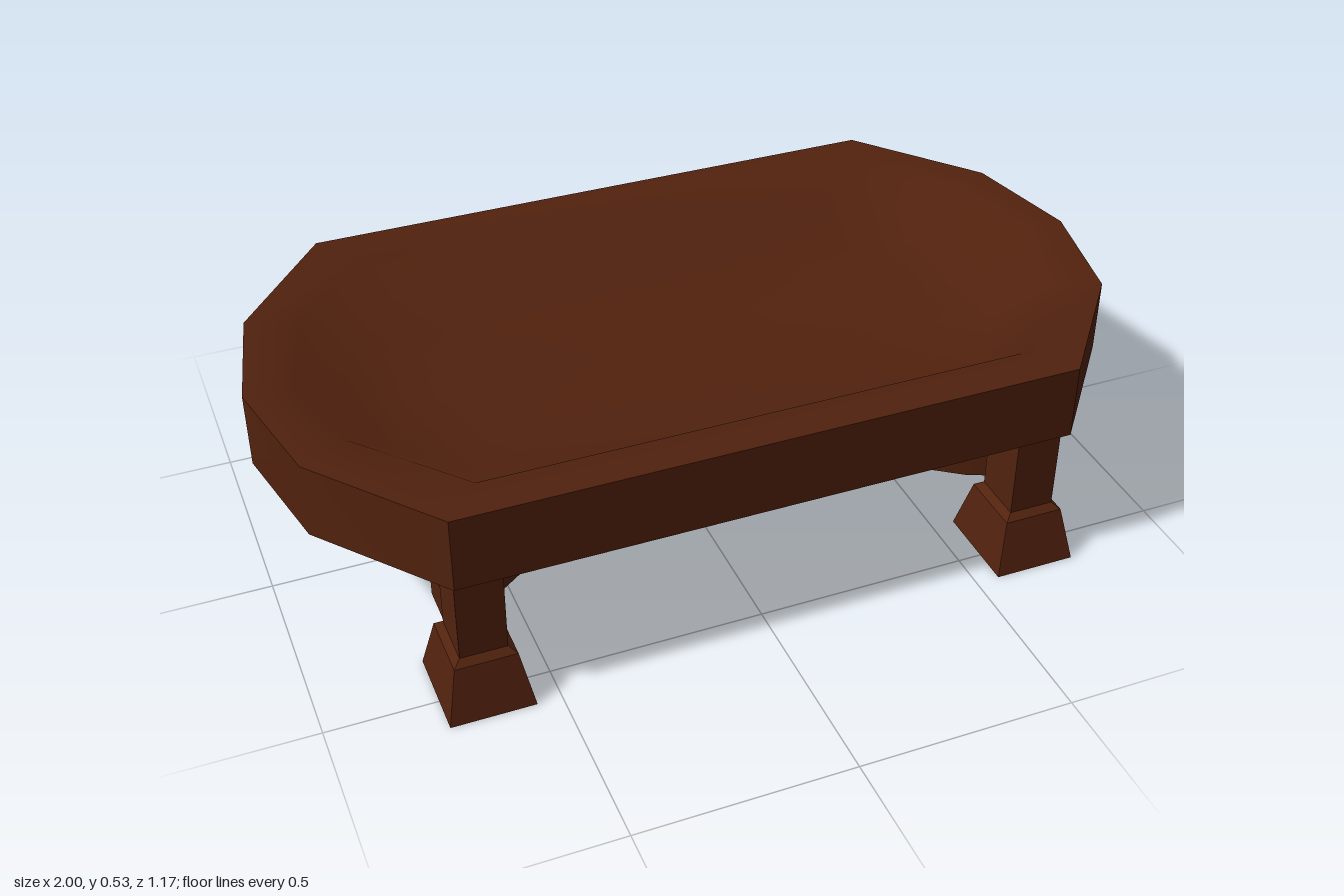
import * as THREE from 'three';
import { toCreasedNormals } from 'three/addons/utils/BufferGeometryUtils.js';

// Skins closed rings from bottom (or outside) to top (or inside); can close the last ring with a fan
function loft(rings, cap) {
  const n = rings[0].length, pos = rings.flat(2), idx = [];
  for (let r = 0; r < rings.length - 1; r++) {
    for (let i = 0; i < n; i++) {
      const a = r * n + i, b = r * n + (i + 1) % n;
      idx.push(a, b, a + n, b, b + n, a + n);
    }
  }
  if (cap) {
    const last = rings[rings.length - 1], base = (rings.length - 1) * n;
    pos.push(0, last[0][1], 0);
    for (let i = 0; i < n; i++) idx.push(base + i, base + (i + 1) % n, rings.length * n);
  }
  const g = new THREE.BufferGeometry();
  g.setAttribute('position', new THREE.Float32BufferAttribute(pos, 3));
  g.setIndex(idx);
  g.computeVertexNormals();
  return g;
}

export function createModel() {
  const model = new THREE.Group();
  const wood = new THREE.MeshStandardMaterial({ color: 0x52220e, side: THREE.DoubleSide });
  wood.name = 'dark brown wood';
  const add = (name, geometry, parent = model) => {
    const mesh = new THREE.Mesh(geometry, wood);
    mesh.name = name;
    parent.add(mesh);
    return mesh;
  };

  // Table outline: straight long sides, faceted bowed ends
  const outline = [[1, 0], [0.94, -0.285], [0.71, -0.567], [-0.71, -0.567], [-0.94, -0.285],
    [-1, 0], [-0.94, 0.285], [-0.71, 0.567], [0.71, 0.567], [0.94, 0.285]];
  const ring = (inset, y) => outline.map(([x, z]) => [x * (1 - 1.2 * inset), y, z * (1 - inset / 0.567)]);

  // Apron: a thin wall, open underneath
  add('apron', toCreasedNormals(loft([ring(0, 0.353), ring(0, 0.53)], false), 0.55));

  // Top: flat rim around a dished surface
  add('tabletop', loft([ring(0, 0.53), ring(0.1, 0.53), ring(0.185, 0.458), ring(0.38, 0.447)], true));

  // Legs with hollow flared feet at the four corners
  const rect = (hx, y, hz) => [[hx, y, hz], [hx, y, -hz], [-hx, y, -hz], [-hx, y, hz]];
  const footGeometry = toCreasedNormals(loft([
    rect(0.096, 0, 0.109), rect(0.07, 0.128, 0.078), rect(0.053, 0.142, 0.062),
  ], false), 0.1);
  const postGeometry = toCreasedNormals(loft([rect(0.053, 0.142, 0.062), rect(0.053, 0.46, 0.062)], false), 0.1);
  for (const sx of [1, -1]) {
    for (const sz of [1, -1]) {
      const leg = new THREE.Group();
      leg.name = (sz > 0 ? 'front' : 'back') + (sx > 0 ? 'Left' : 'Right') + 'Leg';
      leg.position.set(sx * 0.652, 0, sz * 0.476);
      add('post', postGeometry, leg);
      add('foot', footGeometry, leg);
      model.add(leg);
    }
  }

  // Bowed stretchers, open underneath: each joins two legs and bends in to meet the other
  const half = [[0.703, 0.37], [0.6, 0.335], [0.4, 0.19], [0.2, 0.07]];
  const path = [...half, [0, 0.05], ...half.map(([x, z]) => [-x, z]).reverse()]
    .map(([x, z]) => new THREE.Vector2(x, z));
  const curve = new THREE.SplineCurve(path);
  const steps = 16, sections = [];
  for (let i = 0; i <= steps; i++) {
    const p = curve.getPoint(i / steps), t = curve.getTangent(i / steps);
    if (i === 0 || i === steps) t.set(-1, 0);
    const n = new THREE.Vector2(-t.y, t.x).multiplyScalar(0.05);
    const a = p.clone().add(n), b = p.clone().sub(n);
    sections.push([[b.x, 0.142, b.y], [b.x, 0.232, b.y], [a.x, 0.232, a.y], [a.x, 0.142, a.y]]);
  }
  const bowPos = sections.flat(2), bowIdx = [0, 2, 1, 0, 3, 2];
  for (let i = 0; i < steps; i++) {
    for (let k = 0; k < 3; k++) {
      const a = i * 4 + k;
      bowIdx.push(a, a + 1, a + 4, a + 1, a + 5, a + 4);
    }
  }
  const end = steps * 4;
  bowIdx.push(end, end + 1, end + 2, end, end + 2, end + 3);
  const bow = new THREE.BufferGeometry();
  bow.setAttribute('position', new THREE.Float32BufferAttribute(bowPos, 3));
  bow.setIndex(bowIdx);
  const bowGeometry = toCreasedNormals(bow, 0.6);
  add('frontStretcher', bowGeometry);
  add('backStretcher', bowGeometry).rotation.y = Math.PI;

  return model;
}
